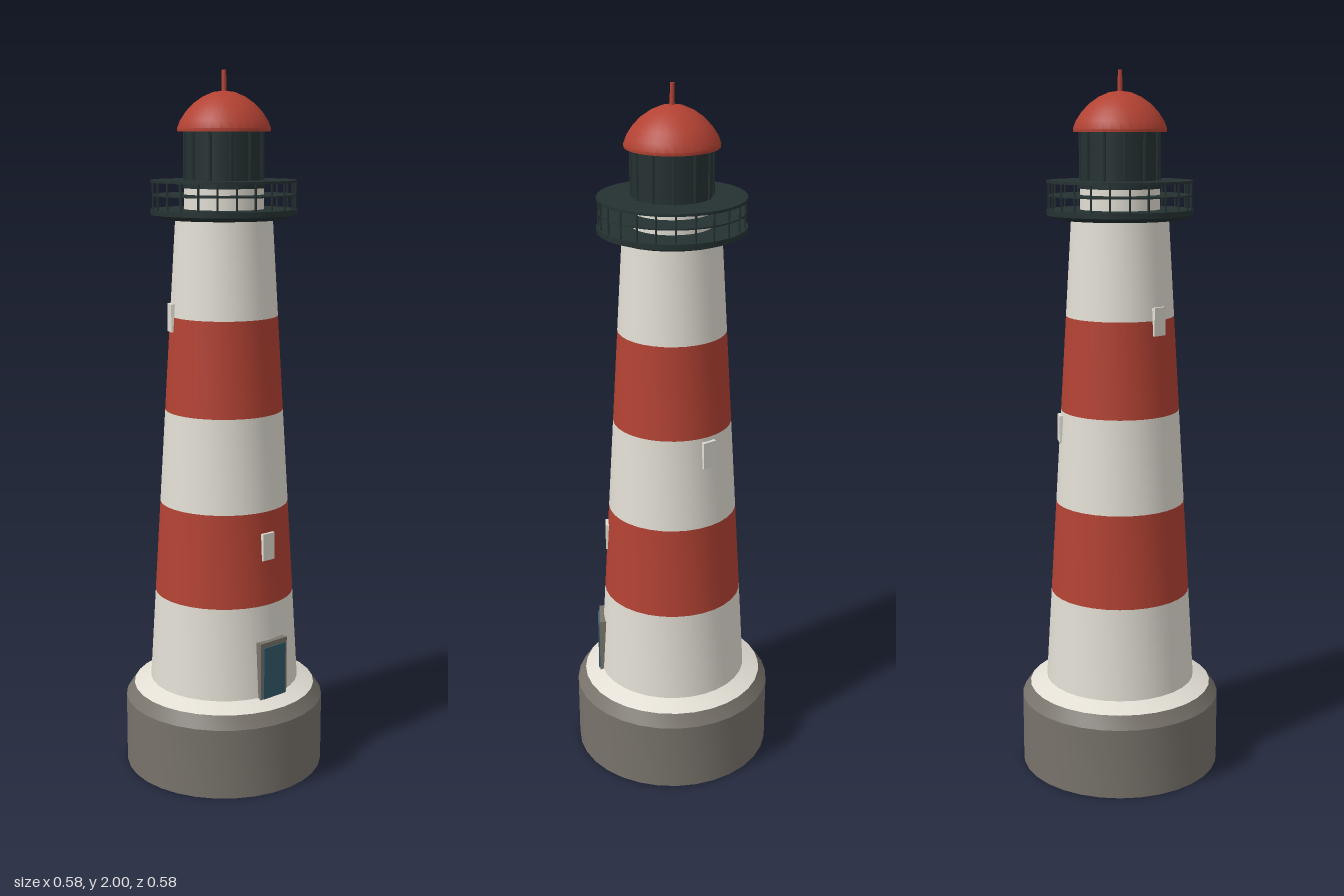
import * as THREE from 'three';
import { toCreasedNormals } from 'three/addons/utils/BufferGeometryUtils.js';

const SIDES = 32;

export function createModel() {
  const model = new THREE.Group();
  model.name = 'lighthouse';

  const material = (name, color) => {
    const m = new THREE.MeshStandardMaterial({ color });
    m.name = name;
    return m;
  };
  const white = material('whitePaint', 0xe2ded4);
  const red = material('redPaint', 0xb34233);
  const dark = material('darkIron', 0x253132);
  const stone = material('greyStone', 0x78736b);
  const blue = material('blueDoor', 0x345a6a);

  const add = (name, geometry, mat, parent = model) => {
    const mesh = new THREE.Mesh(geometry, mat);
    mesh.name = name;
    parent.add(mesh);
    return mesh;
  };

  // Turned part from [radius, height] pairs, listed bottom to top
  const turned = (name, profile, mat, parent) => {
    const points = profile.map(([r, y]) => new THREE.Vector2(r, y));
    return add(name, toCreasedNormals(new THREE.LatheGeometry(points, SIDES), 0.5), mat, parent);
  };

  // Upright cylinder between two heights
  const drum = (name, rBottom, rTop, y0, y1, mat, sides = SIDES, parent = model) => {
    const mesh = add(name, new THREE.CylinderGeometry(rTop, rBottom, y1 - y0, sides), mat, parent);
    mesh.position.y = (y0 + y1) / 2;
    return mesh;
  };

  // Stone foundation with chamfered edge and painted sloping cap
  turned('foundation', [[0, 0], [0.29, 0], [0.29, 0.205], [0.266, 0.24]], stone);
  turned('foundationCap', [[0.266, 0.24], [0.215, 0.262]], white);

  // Tapered tower in five alternating bands
  const bottom = 0.26, top = 1.6, bands = 5;
  const towerRadius = (y) => THREE.MathUtils.mapLinear(y, bottom, top, 0.217, 0.136);
  for (let i = 0; i < bands; i++) {
    const y0 = bottom + ((top - bottom) * i) / bands;
    const y1 = bottom + ((top - bottom) * (i + 1)) / bands;
    turned('towerBand' + (i + 1), [[towerRadius(y0), y0], [towerRadius(y1), y1]], i % 2 ? red : white);
  }

  // Windows spiralling up the tower
  for (let i = 0; i < 3; i++) {
    const y = 0.697 + i * 0.316;
    const pivot = new THREE.Group();
    pivot.name = 'window' + (i + 1);
    pivot.rotation.y = Math.PI / 2 + i * 2.15;
    model.add(pivot);
    const frame = add('windowFrame', new THREE.BoxGeometry(0.042, 0.078, 0.03), white, pivot);
    frame.position.set(0, y, towerRadius(y) - 0.009);
  }

  // Door on the left side: stone frame and a thin blue panel
  const door = new THREE.Group();
  door.name = 'door';
  door.rotation.y = Math.PI / 2;
  model.add(door);
  add('doorFrame', new THREE.BoxGeometry(0.098, 0.168, 0.03), stone, door).position.set(0, 0.341, 0.206);
  add('doorPanel', new THREE.BoxGeometry(0.08, 0.153, 0.006), blue, door).position.set(0, 0.335, 0.222);

  // Gallery deck
  turned('galleryDeck', [[0, 1.597], [0.17, 1.6], [0.204, 1.612], [0.204, 1.627], [0, 1.627]], dark);

  // Gallery railing: thin plates joined by slim posts
  const railing = new THREE.Group();
  railing.name = 'railing';
  model.add(railing);
  drum('middleRail', 0.2, 0.2, 1.663, 1.667, dark, SIDES, railing);
  drum('topRail', 0.203, 0.203, 1.699, 1.706, dark, SIDES, railing);
  const posts = 24;
  for (let i = 0; i < posts; i++) {
    const a = (i / posts) * Math.PI * 2;
    const post = drum('railPost', 0.003, 0.003, 1.62, 1.702, dark, 6, railing);
    post.position.x = 0.198 * Math.sin(a);
    post.position.z = 0.198 * Math.cos(a);
  }

  // Lantern room: white wall, dark glazing and upright bars
  drum('lanternWall', 0.111, 0.111, 1.62, 1.69, white);
  drum('lanternGlazing', 0.108, 0.108, 1.69, 1.845, dark);
  drum('lanternSill', 0.114, 0.114, 1.684, 1.696, dark);
  const bars = 12;
  for (let i = 0; i < bars; i++) {
    const a = (i / bars) * Math.PI * 2;
    const bar = drum('lanternBar', 0.005, 0.005, 1.69, 1.84, dark, 6);
    bar.position.x = 0.109 * Math.sin(a);
    bar.position.z = 0.109 * Math.cos(a);
  }

  // Domed roof and finial
  turned('roofDome', [
    [0, 1.836], [0.128, 1.836], [0.129, 1.844], [0.121, 1.865], [0.105, 1.889],
    [0.084, 1.911], [0.058, 1.929], [0.03, 1.941], [0, 1.945],
  ], red);
  drum('finial', 0.007, 0.006, 1.935, 2, red, 10);

  return model;
}
